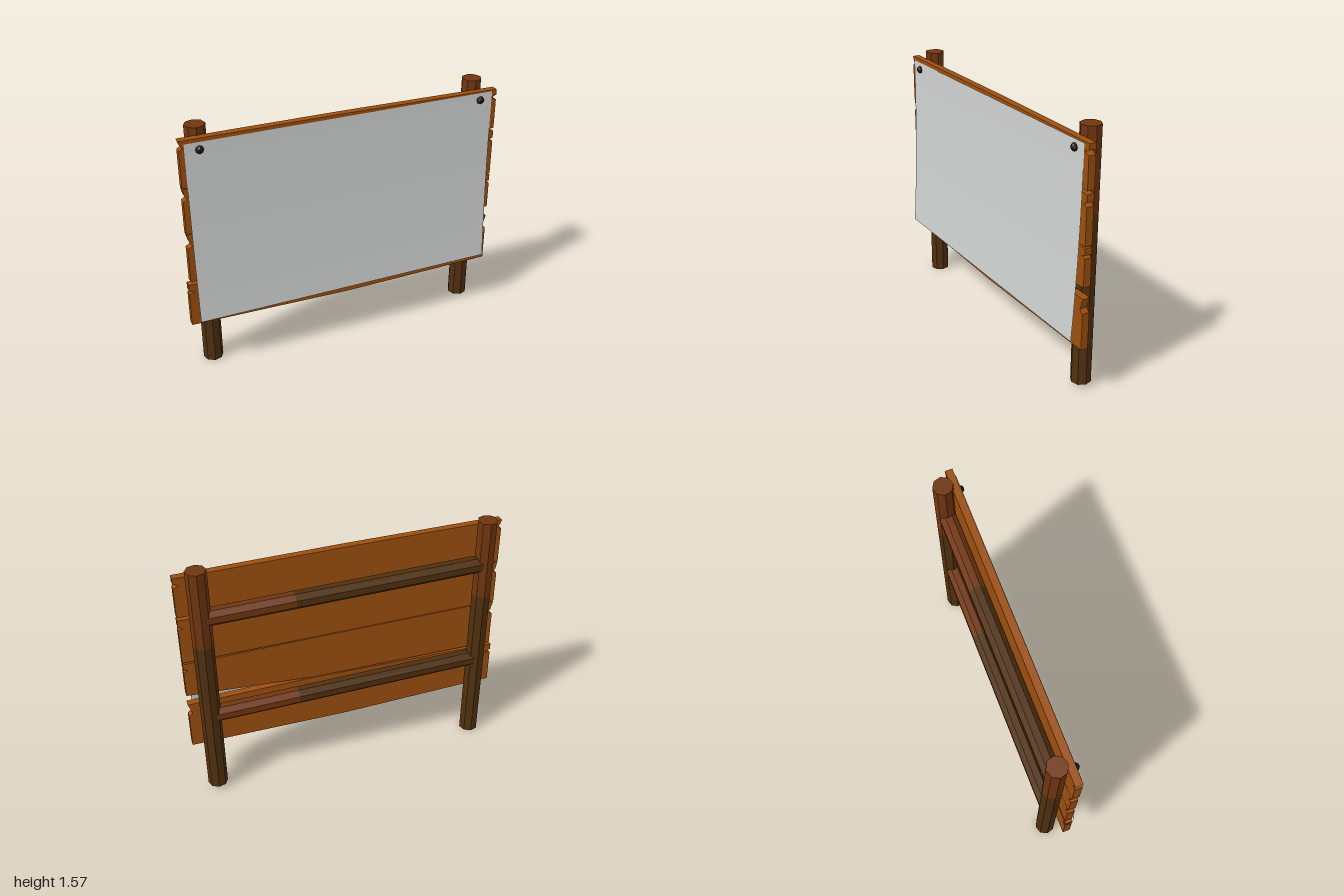
import * as THREE from 'three';

export function createModel() {
  const model = new THREE.Group();
  const mat = (name, color, extra = {}) => {
    const m = new THREE.MeshStandardMaterial({ color, ...extra });
    m.name = name;
    return m;
  };
  const plankWood = mat('plankWood', 0x9c4e0e, { flatShading: true });
  const redWood = mat('redWood', 0x70360f, { flatShading: true });
  const darkWood = mat('darkWood', 0x50300f, { flatShading: true });
  const paper = mat('paper', 0xced2d0, { side: THREE.DoubleSide });
  const iron = mat('iron', 0x200e0e, { flatShading: true });

  const add = (parent, name, geometry, material) => {
    const mesh = new THREE.Mesh(geometry, material);
    mesh.name = name;
    parent.add(mesh);
    return mesh;
  };

  // Eight-sided log from a to b: dark up to the split point, red beyond it
  function addLog(name, a, b, radius, split, spin) {
    const group = new THREE.Group();
    group.name = name;
    const start = new THREE.Vector3(...a);
    const axis = new THREE.Vector3(...b).sub(start);
    const length = axis.length();
    [[0, split, darkWood, 'Dark'], [split, 1, redWood, 'Red']].forEach(([s, e, m, label]) => {
      const g = new THREE.CylinderGeometry(radius, radius, (e - s) * length, 8);
      g.rotateY(spin);
      g.translate(0, (s + e) / 2 * length, 0);
      add(group, name + label, g, m);
    });
    group.position.copy(start);
    group.quaternion.setFromUnitVectors(new THREE.Vector3(0, 1, 0), axis.normalize());
    model.add(group);
  }

  // Posts and the two rails between them
  const z = -0.043;
  addLog('rightPost', [-0.862, 0, z], [-0.862, 1.57, z], 0.061, 0.68, -0.1);
  addLog('leftPost', [0.876, 0.025, z], [0.876, 1.57, z], 0.061, 0.683, -0.1);
  addLog('upperRail', [-0.86, 1.28, z], [0.875, 1.26, z], 0.054, 0.686, 0.39);
  addLog('lowerRail', [-0.86, 0.585, z], [0.875, 0.57, z], 0.054, 0.686, 0.39);

  // Planks with notched ends: right end downwards, bottom middle,
  // left end upwards, top middle
  const planks = [
    [[1, 1.51], [1, 1.475], [0.965, 1.46], [1, 1.445], [1, 1.255], [0, 1.245],
      [-0.985, 1.24], [-0.985, 1.465], [-0.962, 1.48], [-0.975, 1.495], [-0.985, 1.525], [0, 1.522]],
    [[1, 1.235], [1, 1.19], [0.97, 1.177], [1, 1.165], [1, 0.94], [0, 0.945],
      [-0.985, 0.95], [-0.985, 1.155], [-0.96, 1.17], [-0.975, 1.19], [-0.985, 1.235], [0, 1.24]],
    [[1, 0.93], [1, 0.89], [0.97, 0.88], [1, 0.87], [1, 0.7], [0.2, 0.645],
      [-0.985, 0.63], [-0.985, 0.85], [-0.955, 0.87], [-0.97, 0.89], [-0.985, 0.945], [0, 0.94]],
    [[1, 0.63], [0.975, 0.56], [1, 0.54], [1, 0.315], [0, 0.305],
      [-1, 0.33], [-1, 0.545], [-0.96, 0.555], [-1, 0.57], [-1, 0.61], [0.2, 0.642]],
  ];
  planks.forEach((points, i) => {
    const shape = new THREE.Shape(points.map(([x, y]) => new THREE.Vector2(x, y)));
    const g = new THREE.ExtrudeGeometry(shape, { depth: 0.045, bevelEnabled: false });
    g.translate(0, 0, 0.01);
    add(model, 'plank' + (i + 1), g, plankWood);
  });

  // Paper sheet, flat at the top and curling forward to the bottom
  const top = 1.505, bottom = 0.365;
  const sheet = new THREE.PlaneGeometry(1.92, top - bottom, 1, 10);
  sheet.translate(0.005, (top + bottom) / 2, 0);
  const p = sheet.attributes.position;
  for (let i = 0; i < p.count; i++) {
    const t = (top - p.getY(i)) / (top - bottom);
    p.setZ(i, 0.06 + 0.04 * t * t);
  }
  sheet.computeVertexNormals();
  add(model, 'paperSheet', sheet, paper);

  // Nails holding the sheet
  [['rightNail', -0.87], ['leftNail', 0.884]].forEach(([name, x]) => {
    const g = new THREE.SphereGeometry(0.025, 8, 6);
    g.rotateX(Math.PI / 2);
    add(model, name, g, iron).position.set(x, 1.46, 0.058);
  });

  return model;
}
